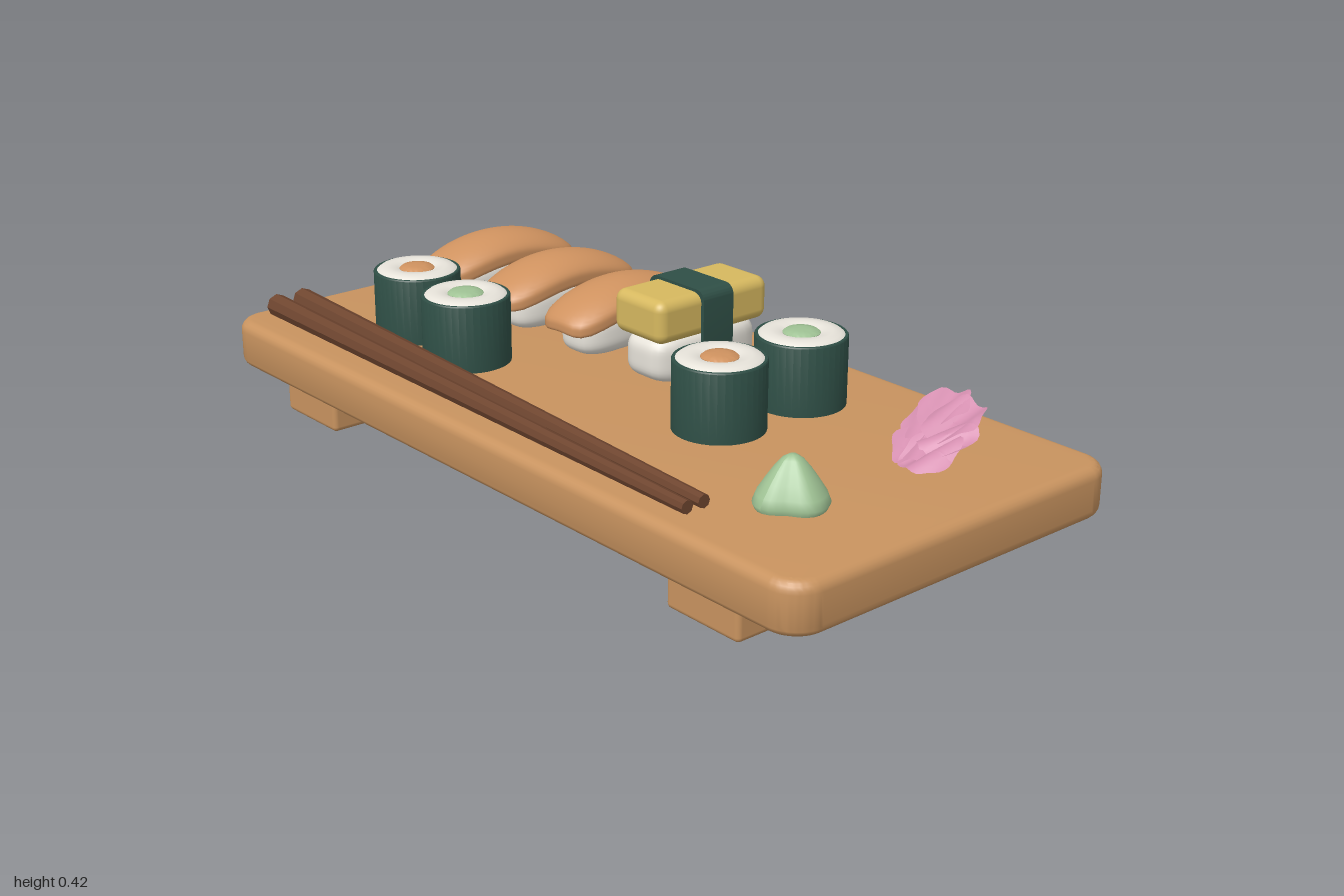
import * as THREE from 'three';
import { toCreasedNormals } from 'three/addons/utils/BufferGeometryUtils.js';
import { RoundedBoxGeometry } from 'three/addons/geometries/RoundedBoxGeometry.js';

const material = (name, color, side = THREE.FrontSide) => {
  const m = new THREE.MeshStandardMaterial({ color, side });
  m.name = name;
  return m;
};

const wood = material('wood', 0xc8935f);
const fish = material('salmon', 0xcf925f);
const rice = material('rice', 0xe9e5dc);
const nori = material('seaweed', 0x2f4f46);
const egg = material('egg', 0xd6b85f);
const green = material('green', 0x9fc294);
const pink = material('pink', 0xd58fb0, THREE.DoubleSide);
const darkWood = material('dark wood', 0x6e452f);

const TOP = 0.2; // height of the board surface

function add(parent, name, geometry, mat, x = 0, y = 0, z = 0) {
  const mesh = new THREE.Mesh(geometry, mat);
  mesh.name = name;
  mesh.position.set(x, y, z);
  parent.add(mesh);
  return mesh;
}

function group(parent, name, x, y, z) {
  const g = new THREE.Group();
  g.name = name;
  g.position.set(x, y, z);
  parent.add(g);
  return g;
}

// Move every vertex of a geometry by a rule
function reshape(geometry, rule) {
  const p = geometry.attributes.position;
  const v = new THREE.Vector3();
  for (let i = 0; i < p.count; i++) {
    rule(v.fromBufferAttribute(p, i));
    p.setXYZ(i, v.x, v.y, v.z);
  }
  geometry.computeVertexNormals();
  return geometry;
}

// Soft pillow with half sizes a, b, c, then an optional bend
function pillow(a, b, c, power, bend = () => {}) {
  return reshape(new THREE.SphereGeometry(1, 40, 28), (v) => {
    const s = (Math.abs(v.x) ** power + Math.abs(v.y) ** power + Math.abs(v.z) ** power) ** (1 / power);
    v.divideScalar(s);
    const u = v.clone();
    v.set(v.x * a, v.y * b, v.z * c);
    bend(v, u);
  });
}

// Rectangle with rounded corners
function roundedRect(w, h, r) {
  const x = w / 2 - r, y = h / 2 - r;
  const s = new THREE.Shape();
  s.absarc(x, y, r, 0, Math.PI / 2);
  s.absarc(-x, y, r, Math.PI / 2, Math.PI);
  s.absarc(-x, -y, r, Math.PI, Math.PI * 1.5);
  s.absarc(x, -y, r, Math.PI * 1.5, Math.PI * 2);
  s.closePath();
  return s;
}

function buildBoard(root) {
  const bevel = 0.025;
  const slab = new THREE.ExtrudeGeometry(roundedRect(2 - 2 * bevel, 0.93 - 2 * bevel, 0.05), {
    depth: 0.117 - 2 * bevel, bevelSize: bevel, bevelThickness: bevel, bevelSegments: 5, curveSegments: 8,
  });
  slab.rotateX(-Math.PI / 2);
  add(root, 'board', toCreasedNormals(slab, 0.6), wood, 0, 0.083 + bevel, 0);
  for (const side of [-1, 1]) {
    add(root, 'foot', new RoundedBoxGeometry(0.21, 0.095, 0.85, 3, 0.012), wood, side * 0.705, 0.0475, 0);
  }
}

// Rice pillow with a drooping slice of fish
function buildNigiri(root, x, turn) {
  const g = group(root, 'nigiri', x, TOP, -0.165);
  g.rotation.y = turn;
  add(g, 'riceBed', pillow(0.075, 0.06, 0.165, 3.2, (v, u) => { v.y -= 0.015 * u.z * u.z; }), rice, 0, 0.062, 0);
  const slice = pillow(0.088, 0.028, 0.205, 4, (v, u) => {
    v.x *= 1 + 0.05 * u.z;
    v.y -= 0.055 * u.z * u.z + 0.022 * u.x * u.x;
  });
  add(g, 'fishSlice', slice, fish, 0, 0.138, 0);
}

// Omelette block on rice, tied with a seaweed band
function buildEggNigiri(root) {
  const g = group(root, 'eggNigiri', 0.017, TOP, -0.16);
  add(g, 'riceBed', pillow(0.076, 0.06, 0.155, 4), rice, 0, 0.06, 0);
  add(g, 'omelette', new RoundedBoxGeometry(0.166, 0.102, 0.332, 4, 0.025), egg, 0, 0.16, 0);
  const loop = roundedRect(0.186, 0.218, 0.025);
  loop.holes.push(roundedRect(0.168, 0.2, 0.02));
  const band = new THREE.ExtrudeGeometry(loop, { depth: 0.09, bevelEnabled: false, curveSegments: 6 });
  add(g, 'seaweedBand', toCreasedNormals(band, 0.6), nori, 0, 0.109, -0.0);
  g.children[2].position.z = -0.045;
}

// Seaweed roll with a ring of rice round a filling
function buildRoll(root, x, z, filling) {
  const g = group(root, 'roll', x, TOP, z);
  const lathe = (...pts) => toCreasedNormals(
    new THREE.LatheGeometry(pts.map((p) => new THREE.Vector2(...p)), 40), 0.6);
  add(g, 'seaweedWrap', lathe([0, 0], [0.104, 0], [0.104, 0.158], [0.102, 0.161], [0.096, 0.161], [0.096, 0.14]), nori);
  add(g, 'riceRing', lathe([0.097, 0.15], [0.096, 0.16], [0.088, 0.166], [0.07, 0.168], [0.052, 0.167],
    [0.042, 0.162], [0.04, 0.15]), rice);
  add(g, 'filling', lathe([0.042, 0.15], [0.042, 0.163], [0.036, 0.168], [0.02, 0.17], [0, 0.171]), filling);
}

// Tapered stick running between two points
function buildChopstick(root, z0, z1) {
  const a = new THREE.Vector3(-0.93, TOP + 0.028, z0);
  const b = new THREE.Vector3(0.63, TOP + 0.018, z1);
  const dir = b.clone().sub(a);
  const stick = toCreasedNormals(new THREE.CylinderGeometry(0.015, 0.028, dir.length(), 8), 0.4);
  const mesh = add(root, 'chopstick', stick, darkWood);
  mesh.position.copy(a).add(b).multiplyScalar(0.5);
  mesh.quaternion.setFromUnitVectors(new THREE.Vector3(0, 1, 0), dir.normalize());
}

// Lumpy three-sided mound
function buildWasabi(root) {
  const profile = [[0.072, 0], [0.077, 0.012], [0.07, 0.03], [0.054, 0.055], [0.038, 0.078],
    [0.022, 0.097], [0.01, 0.104], [0, 0.105]].map((p) => new THREE.Vector2(...p));
  const mound = reshape(new THREE.LatheGeometry(profile, 36), (v) => {
    const t = Math.atan2(v.z, v.x);
    const k = 1 + 0.1 * Math.cos(3 * t + 0.6) + 0.04 * Math.sin(5 * t);
    v.x *= k;
    v.z *= k;
  });
  add(root, 'wasabi', mound, green, 0.718, TOP, 0.2);
}

// Overlapping rippled petals, rising toward the back
function buildGinger(root) {
  const g = group(root, 'ginger', 0.73, TOP, -0.2);
  const petals = [ // x, y, z, radius, turn
    [0.035, 0.03, 0.05, 0.06, 0.3], [-0.005, 0.038, 0.025, 0.065, -0.3], [0.04, 0.052, 0.005, 0.06, 0.6],
    [-0.035, 0.06, -0.03, 0.06, -0.5], [0.02, 0.074, -0.035, 0.062, 0.1], [-0.03, 0.082, -0.06, 0.054, -0.2],
  ];
  petals.forEach(([x, y, z, r, turn], i) => {
    const petal = reshape(new THREE.RingGeometry(0.001, r, 36, 5), (v) => {
      const t = Math.atan2(v.y, v.x) + turn;
      const k = 1 + 0.06 * Math.cos(6 * t);
      const px = v.x * k, pz = -v.y * k * 1.1;
      const ripple = 0.008 * Math.sin(75 * (px * Math.cos(turn) + pz * Math.sin(turn)) + i);
      v.set(px, Math.max(0.003 - y, -0.4 * pz + 0.12 * turn * px + ripple), pz);
    });
    add(g, 'gingerPetal', petal, pink, x, y, z);
  });
}

export function createModel() {
  const root = new THREE.Group();
  root.name = 'sushiBoard';
  buildBoard(root);
  buildNigiri(root, -0.725, -0.04);
  buildNigiri(root, -0.477, 0);
  buildNigiri(root, -0.23, 0.04);
  buildEggNigiri(root);
  buildRoll(root, 0.33, -0.205, green);
  buildRoll(root, 0.33, 0.038, fish);
  buildRoll(root, -0.603, 0.17, fish);
  buildRoll(root, -0.37, 0.195, green);
  buildChopstick(root, 0.296, 0.352);
  buildChopstick(root, 0.37, 0.396);
  buildWasabi(root);
  buildGinger(root);
  return root;
}
